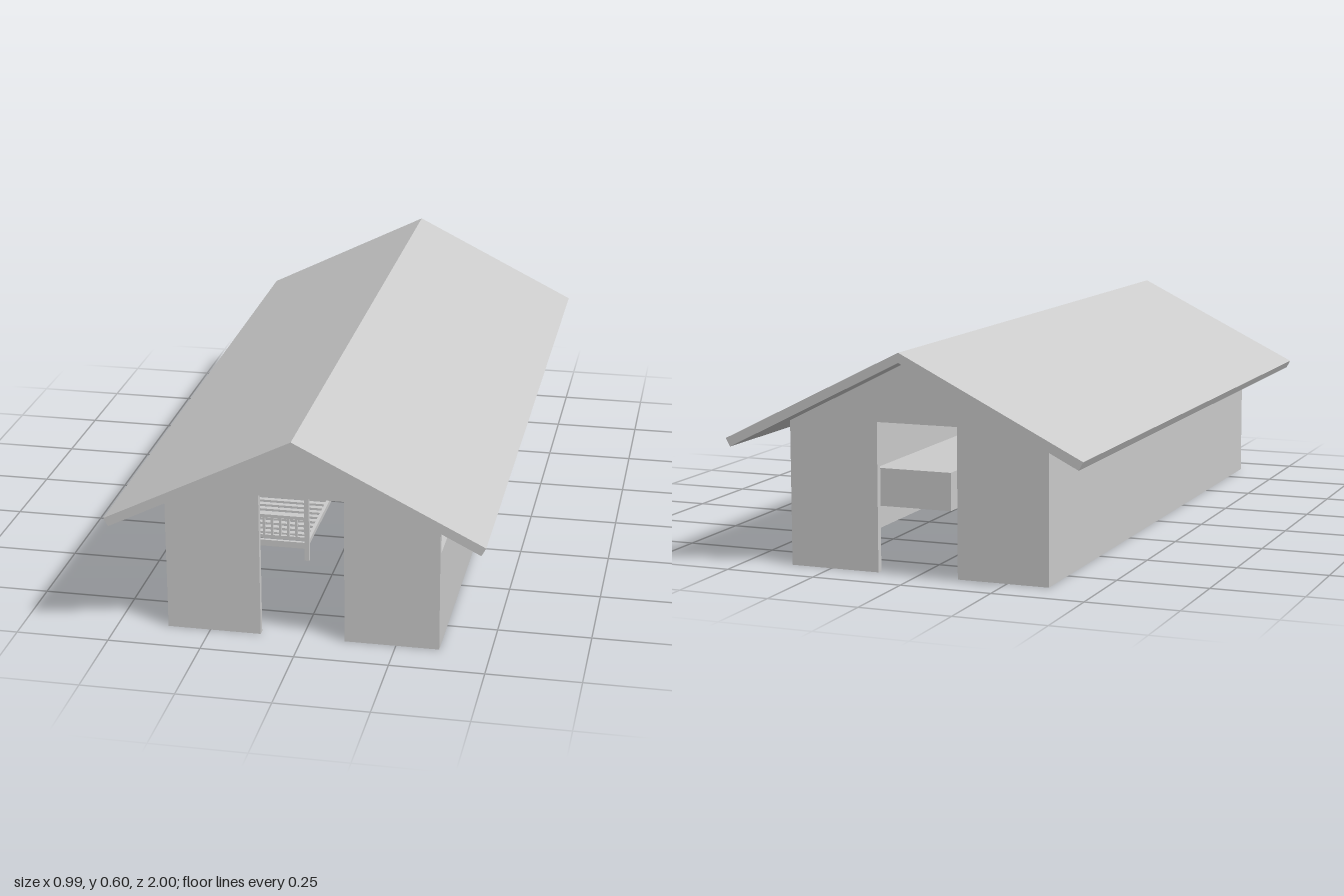
import * as THREE from 'three';

const material = new THREE.MeshStandardMaterial({ color: 0xcccccc, flatShading: true });

// Box given by its min and max on each axis
function box(parent, name, [x0, x1], [y0, y1], [z0, z1]) {
  const m = new THREE.Mesh(new THREE.BoxGeometry(x1 - x0, y1 - y0, z1 - z0), material);
  m.position.set((x0 + x1) / 2, (y0 + y1) / 2, (z0 + z1) / 2);
  m.name = name;
  parent.add(m);
  return m;
}

// Outline in x and y, extruded along z
function extrude(parent, name, points, z0, z1) {
  const shape = new THREE.Shape(points.map(([x, y]) => new THREE.Vector2(x, y)));
  const geo = new THREE.ExtrudeGeometry(shape, { depth: z1 - z0, bevelEnabled: false });
  const m = new THREE.Mesh(geo, material);
  m.position.z = z0;
  m.name = name;
  parent.add(m);
  return m;
}

const W = 0.365, L = 0.89, T = 0.018, EAVE = 0.39, RIDGE = 0.574;
const DOOR = 0.113, DOOR_TOP = 0.4, SILL = 0.27;

function createWalls() {
  const g = new THREE.Group();
  g.name = 'walls';
  // Gable ends with an open doorway
  const gable = [
    [-W, 0], [-DOOR, 0], [-DOOR, DOOR_TOP], [DOOR, DOOR_TOP], [DOOR, 0],
    [W, 0], [W, EAVE], [0, RIDGE], [-W, EAVE],
  ];
  extrude(g, 'frontGable', gable, L - T, L);
  extrude(g, 'backGable', gable, -L, -L + T);
  // Long walls, with a row of windows up to the roof in the front half
  for (const s of [-1, 1]) {
    const xs = s > 0 ? [W - T, W] : [-W, -W + T];
    box(g, 'lowerSideWall', xs, [0, SILL], [-L + T, L - T]);
    box(g, 'upperSideWall', xs, [SILL, EAVE], [-L + T, 0]);
    for (const z of [0.215, 0.435, 0.655]) {
      box(g, 'windowPost', xs, [SILL, EAVE], [z - 0.01, z + 0.01]);
    }
  }
  return g;
}

function createBunk() {
  const g = new THREE.Group();
  g.name = 'bunkBed';
  const x0 = -0.305, x1 = -0.05, z0 = 0.055, z1 = 0.57, P = 0.013;
  // Corner posts
  for (const x of [x0, x1 - P]) {
    for (const z of [z0, z1 - P]) box(g, 'post', [x, x + P], [0.07, 0.4], [z, z + P]);
  }
  for (const y of [0.105, 0.305]) {
    // Side rails and end rails
    for (const x of [x0, x1 - P]) {
      box(g, 'sideRail', [x + 0.002, x + P - 0.002], [y + 0.008, y + 0.022], [z0 + P, z1 - P]);
    }
    for (const z of [z0, z1 - P]) {
      const zs = [z + 0.002, z + P - 0.002], xs = [x0 + P, x1 - P];
      box(g, 'endRail', xs, [y, y + 0.018], zs);
      box(g, 'boardBottomRail', xs, [y + 0.026, y + 0.034], zs);
      box(g, 'boardTopRail', xs, [y + 0.086, y + 0.095], zs);
      // Upright bars of the end boards
      for (let i = 1; i < 10; i++) {
        const x = x0 + P + (i * (x1 - x0 - 2 * P)) / 10;
        box(g, 'boardBar', [x - 0.003, x + 0.003], [y + 0.034, y + 0.086], zs);
      }
    }
    // Cross slats
    for (let i = 0; i < 16; i++) {
      const z = z0 + 0.03 + (i * (z1 - z0 - 0.06)) / 15;
      box(g, 'slat', [x0 + 0.008, x1 - 0.008], [y + 0.014, y + 0.02], [z - 0.008, z + 0.008]);
    }
  }
  // Ladder on the aisle side
  for (const z of [0.078, 0.16]) {
    box(g, 'ladderRail', [x1, x1 + 0.01], [0.105, 0.325], [z, z + 0.01]);
  }
  for (let i = 0; i < 5; i++) {
    const y = 0.125 + i * 0.043;
    box(g, 'ladderRung', [x1 + 0.002, x1 + 0.008], [y, y + 0.008], [0.088, 0.16]);
  }
  return g;
}

export function createModel() {
  const model = new THREE.Group();
  model.name = 'bunkhouse';
  model.add(createWalls());

  // Pitched roof
  extrude(model, 'roof', [
    [0, 0.6], [-0.497, 0.352], [-0.485, 0.33], [0, RIDGE], [0.485, 0.33], [0.497, 0.352],
  ], -1, 1);

  // Two bunk beds in a row along one wall
  for (const z of [0, -0.63]) {
    const bunk = createBunk();
    bunk.position.z = z;
    model.add(bunk);
  }

  // Low counters along the other wall
  box(model, 'frontCounter', [0.116, W - T], [0.07, 0.18], [0.345, 0.78]);
  box(model, 'backCounter', [0.116, W - T], [0.07, 0.18], [-0.4, 0.19]);

  return model;
}
